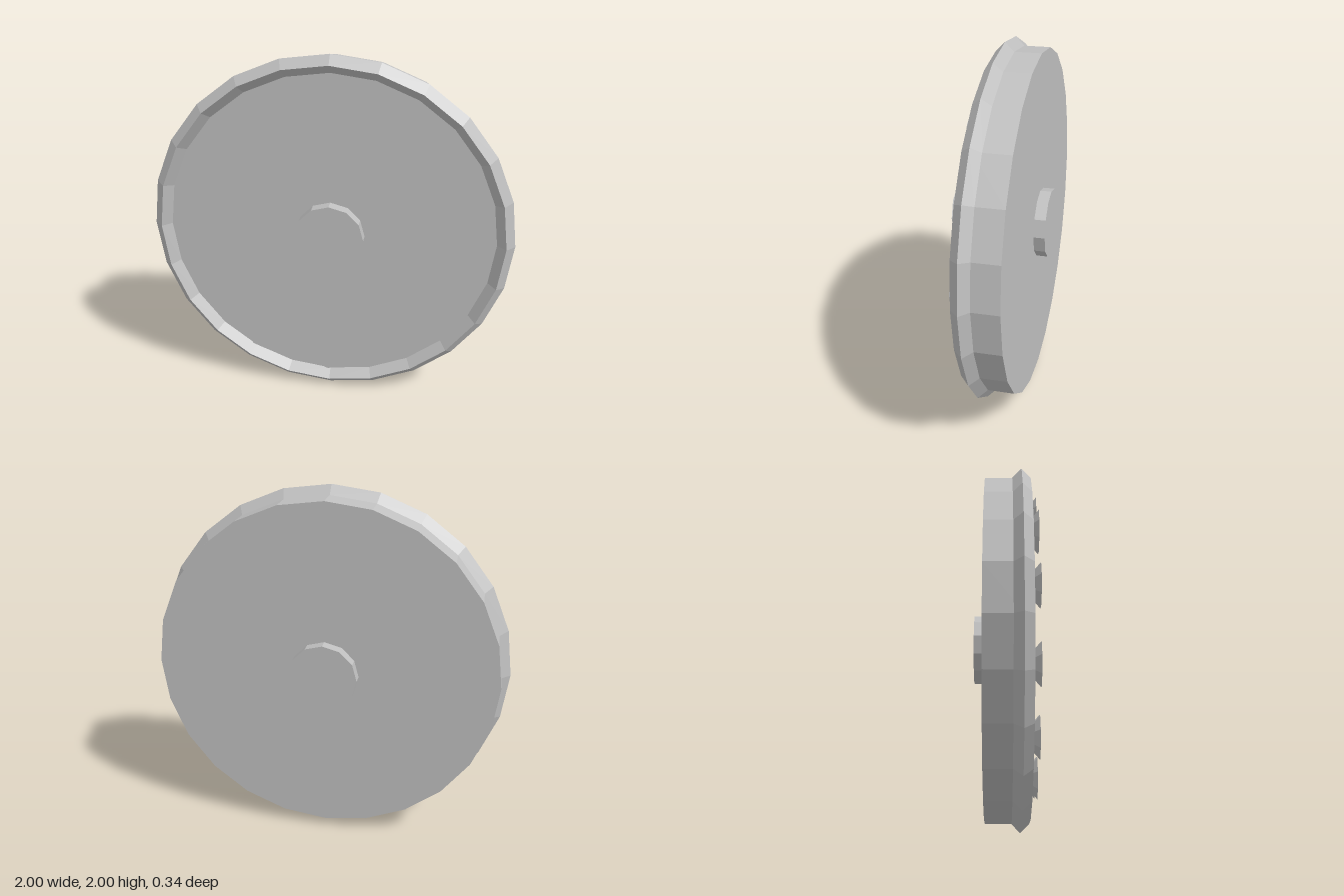
import * as THREE from 'three';

export function createModel() {
  const model = new THREE.Group();
  model.name = 'roundShield';
  const steel = new THREE.MeshStandardMaterial({ color: 0xc0c0c0 });
  steel.name = 'steel grey';
  steel.flatShading = true;

  const add = (name, geometry, x, y, z, tilt = 0) => {
    const mesh = new THREE.Mesh(geometry, steel);
    mesh.name = name;
    mesh.position.set(x, y, z);
    mesh.rotation.x = tilt;
    model.add(mesh);
  };

  const CENTRE = 1;
  const RADIUS = 0.952;

  // Main disc and the hub that passes through it
  add('disc', new THREE.CylinderGeometry(RADIUS, RADIUS, 0.19, 24), 0, CENTRE, -0.011, Math.PI / 2);
  add('hub', new THREE.CylinderGeometry(0.19, 0.19, 0.314, 12), 0, CENTRE, -0.011, Math.PI / 2);

  // Diamond-section rim around the front edge
  add('rim', new THREE.TorusGeometry(RADIUS, 0.048, 4, 24), 0, CENTRE, 0.084);

  // Ring of studs: eight-sided cones, flat base forward, point set into the disc
  const stud = new THREE.ConeGeometry(0.115, 0.095, 8);
  for (let i = 0; i < 12; i++) {
    const a = (i / 12) * Math.PI * 2;
    add('stud' + (i + 1), stud, 0.732 * Math.cos(a), CENTRE + 0.732 * Math.sin(a), 0.1205, -Math.PI / 2);
  }

  return model;
}
